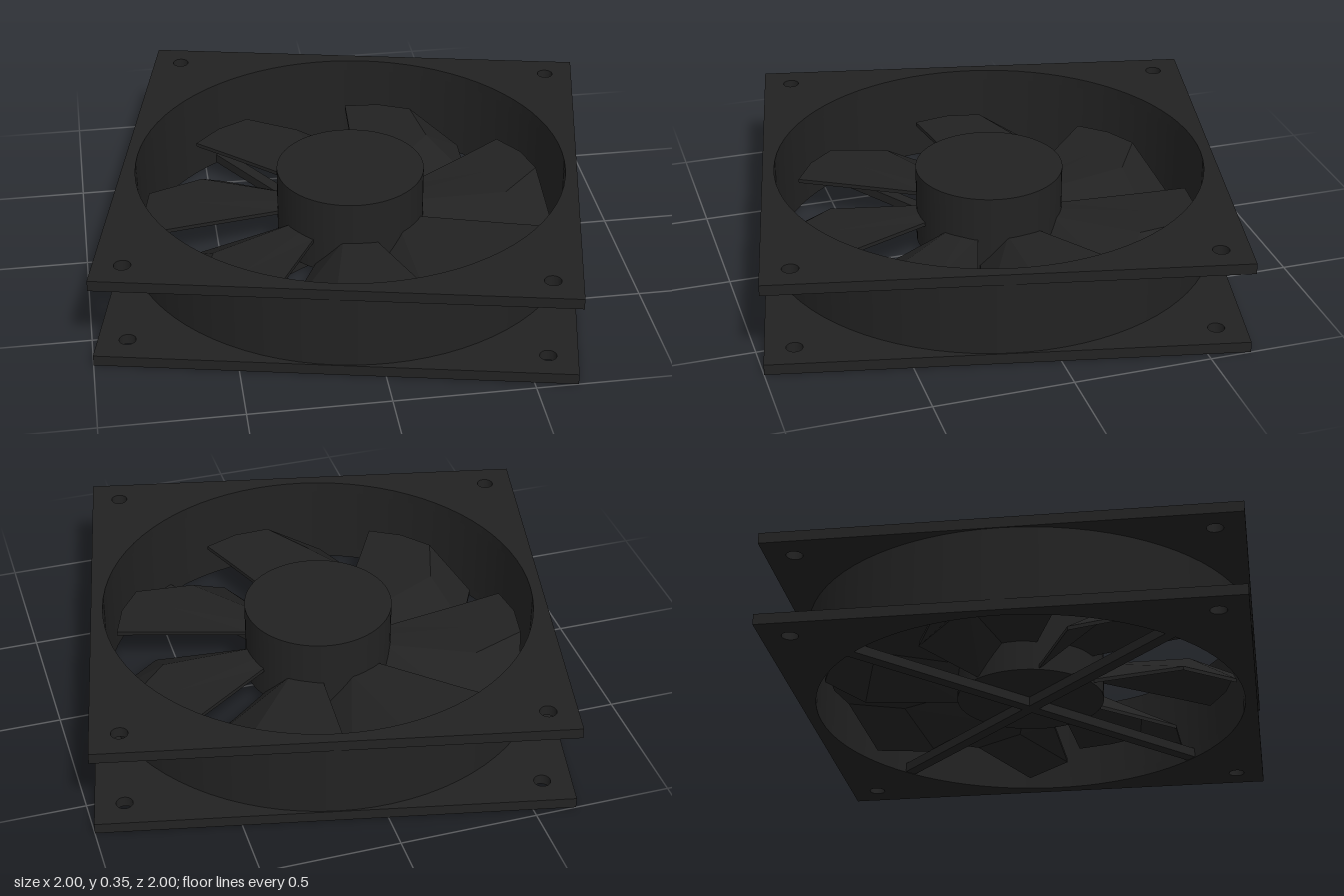
import * as THREE from 'three';

const PLATE_HALF = 0.843, BORE = 0.8, PLATE_T = 0.04, HEIGHT = 0.355;
const rad = THREE.MathUtils.degToRad;

// Square flange with a large bore and four screw holes
function plateGeometry() {
  const h = PLATE_HALF, s = new THREE.Shape();
  s.moveTo(-h, -h).lineTo(h, -h).lineTo(h, h).lineTo(-h, h).closePath();
  const hole = (x, y, r) => s.holes.push(new THREE.Path().absarc(x, y, r, 0, Math.PI * 2, true));
  hole(0, 0, BORE);
  for (const x of [-0.738, 0.738]) for (const y of [-0.738, 0.738]) hole(x, y, 0.03);
  const g = new THREE.ExtrudeGeometry(s, { depth: PLATE_T, bevelEnabled: false, curveSegments: 40 });
  return g.rotateX(-Math.PI / 2);
}

// Thin folded blade: rows run from leading to trailing edge, [degrees, radius, height] from hub to tip
function bladeGeometry() {
  const rows = [
    [[77, 0.26, 0.165], [72, 0.6, 0.165], [71, 0.765, 0.165]],
    [[90, 0.26, 0.17], [87, 0.6, 0.17], [81, 0.775, 0.17]],
    [[104, 0.26, 0.17], [103, 0.6, 0.17], [91, 0.77, 0.17]],
    [[127, 0.26, 0.06], [121, 0.62, 0.05], [107, 0.775, 0.05]],
  ];
  const pos = [], idx = [], n = 12, T = 0.015;
  for (const drop of [0, T]) {
    for (const [a, r, y] of rows.flat()) pos.push(r * Math.cos(rad(a)), y - drop, r * Math.sin(rad(a)));
  }
  const quad = (a, b, c, d) => idx.push(a, b, c, a, c, d);
  for (let i = 0; i < 3; i++) {
    for (let j = 0; j < 2; j++) {
      const a = i * 3 + j, b = a + 3, c = a + 4, d = a + 1;
      quad(a, b, c, d);
      quad(d + n, c + n, b + n, a + n);
    }
  }
  // Rim around the blade
  const loop = [0, 3, 6, 9, 10, 11, 8, 5, 2, 1];
  loop.forEach((a, i) => {
    const b = loop[(i + 1) % loop.length];
    quad(a, a + n, b + n, b);
  });
  const g = new THREE.BufferGeometry();
  g.setAttribute('position', new THREE.Float32BufferAttribute(pos, 3));
  g.setIndex(idx);
  const flat = g.toNonIndexed();
  flat.computeVertexNormals();
  return flat;
}

export function createModel() {
  const model = new THREE.Group();
  model.name = 'coolingFan';
  const black = new THREE.MeshStandardMaterial({ color: 0x222222, side: THREE.DoubleSide });
  black.name = 'black plastic';
  const add = (parent, name, geometry, y = 0) => {
    const m = new THREE.Mesh(geometry, black);
    m.name = name;
    m.position.y = y;
    parent.add(m);
    return m;
  };

  // Housing, turned slightly about the vertical axis
  const housing = new THREE.Group();
  housing.name = 'housing';
  housing.rotation.y = rad(-12);
  model.add(housing);
  const plate = plateGeometry();
  add(housing, 'bottomPlate', plate);
  add(housing, 'topPlate', plate, HEIGHT - PLATE_T);
  const wallH = HEIGHT - 2 * PLATE_T;
  add(housing, 'outerWall', new THREE.CylinderGeometry(0.84, 0.84, wallH, 80, 1, true), HEIGHT / 2);
  add(housing, 'innerWall', new THREE.CylinderGeometry(BORE, BORE, wallH, 80, 1, true), HEIGHT / 2);

  // Crossed struts under the motor, along the diagonals
  for (const a of [45, -45]) {
    const strut = add(housing, 'strut', new THREE.BoxGeometry(2 * BORE + 0.01, 0.036, 0.045), 0.02);
    strut.rotation.y = rad(a);
  }

  // Rotor: hub and seven blades
  const rotor = new THREE.Group();
  rotor.name = 'rotor';
  model.add(rotor);
  add(rotor, 'hub', new THREE.CylinderGeometry(0.275, 0.275, 0.295, 64), 0.1875);
  const blade = bladeGeometry();
  for (let k = 0; k < 7; k++) add(rotor, 'blade', blade).rotation.y = -k * Math.PI * 2 / 7;

  return model;
}
